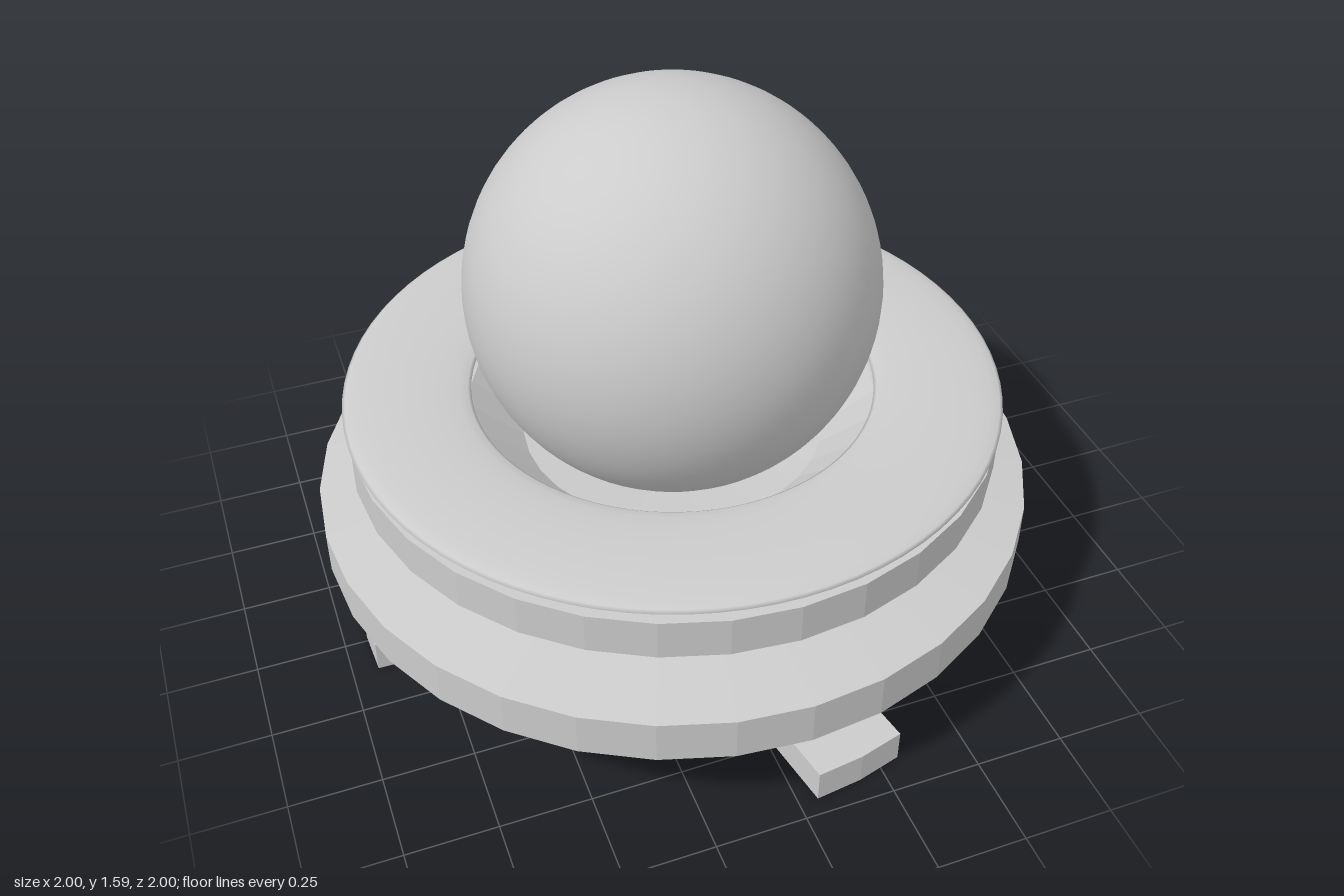
import * as THREE from 'three';

const grey = new THREE.MeshStandardMaterial({ color: 0xcccccc });
const faceted = new THREE.MeshStandardMaterial({ color: 0xcccccc, flatShading: true });

function add(parent, name, geometry, material) {
  const mesh = new THREE.Mesh(geometry, material);
  mesh.name = name;
  parent.add(mesh);
  return mesh;
}

// Faceted turned part from [radius, height] pairs, bottom to top
function turned(profile) {
  return new THREE.LatheGeometry(profile.map(([r, y]) => new THREE.Vector2(r, y)), 32);
}

// Radial bar along +x with a curved outer end
function bar(inner, outer, width, y0, y1) {
  const a = Math.asin(width / 2 / outer);
  const shape = new THREE.Shape();
  shape.moveTo(inner, -width / 2);
  for (let i = 0; i <= 2; i++) {
    const t = -a + a * i;
    shape.lineTo(outer * Math.cos(t), outer * Math.sin(t));
  }
  shape.lineTo(inner, width / 2);
  shape.closePath();
  const g = new THREE.ExtrudeGeometry(shape, { depth: y1 - y0, bevelEnabled: false });
  return g.rotateX(-Math.PI / 2).translate(0, y0, 0);
}

export function createModel() {
  const model = new THREE.Group();
  model.name = 'orbOnPedestal';

  // Base plate and column
  add(model, 'basePlate', turned([[0, 0], [0.68, 0], [0.68, 0.095], [0, 0.095]]), faceted);
  add(model, 'column', turned([[0, 0.09], [0.615, 0.09], [0.615, 0.26], [0, 0.26]]), faceted);

  // Four stepped feet: [angle from +x towards +z, tip radius, step radius, upper step radius]
  const feet = [
    [0, 0.94, 0.775, 0.655],
    [79, 0.955, 0.77, 0.68],
    [181, 0.935, 0.81, 0.69],
    [267, 0.91, 0.75, 0.67],
  ];
  for (const [angle, tip, step, upper] of feet) {
    const foot = new THREE.Group();
    foot.name = 'foot';
    foot.rotation.y = -THREE.MathUtils.degToRad(angle);
    add(foot, 'footPad', bar(0.5, tip, 0.26, 0, 0.095), faceted);
    add(foot, 'footStep', bar(0.5, step, 0.25, 0.095, 0.17), faceted);
    add(foot, 'footUpperStep', bar(0.5, upper, 0.25, 0.17, 0.255), faceted);
    model.add(foot);
  }

  // Wide lower drum with sloped faces
  add(model, 'lowerDrum', turned([
    [0, 0.255], [0.63, 0.255], [1, 0.31], [1, 0.435], [0.62, 0.5], [0, 0.5],
  ]), faceted);

  // Upper drum with a dished seat for the orb
  add(model, 'upperDrum', turned([
    [0, 0.5], [0.6, 0.5], [0.9, 0.565], [0.9, 0.68], [0.56, 0.68], [0.42, 0.56], [0, 0.52],
  ]), faceted);

  // Flattened collar floating above the drum
  const collar = add(model, 'collar',
    new THREE.TorusGeometry(0.73, 0.175, 20, 80).rotateX(Math.PI / 2).scale(1, 0.12, 1), grey);
  collar.position.y = 0.717;

  // Orb
  const orb = add(model, 'orb', new THREE.SphereGeometry(0.556, 64, 40), grey);
  orb.position.y = 1.032;

  return model;
}
